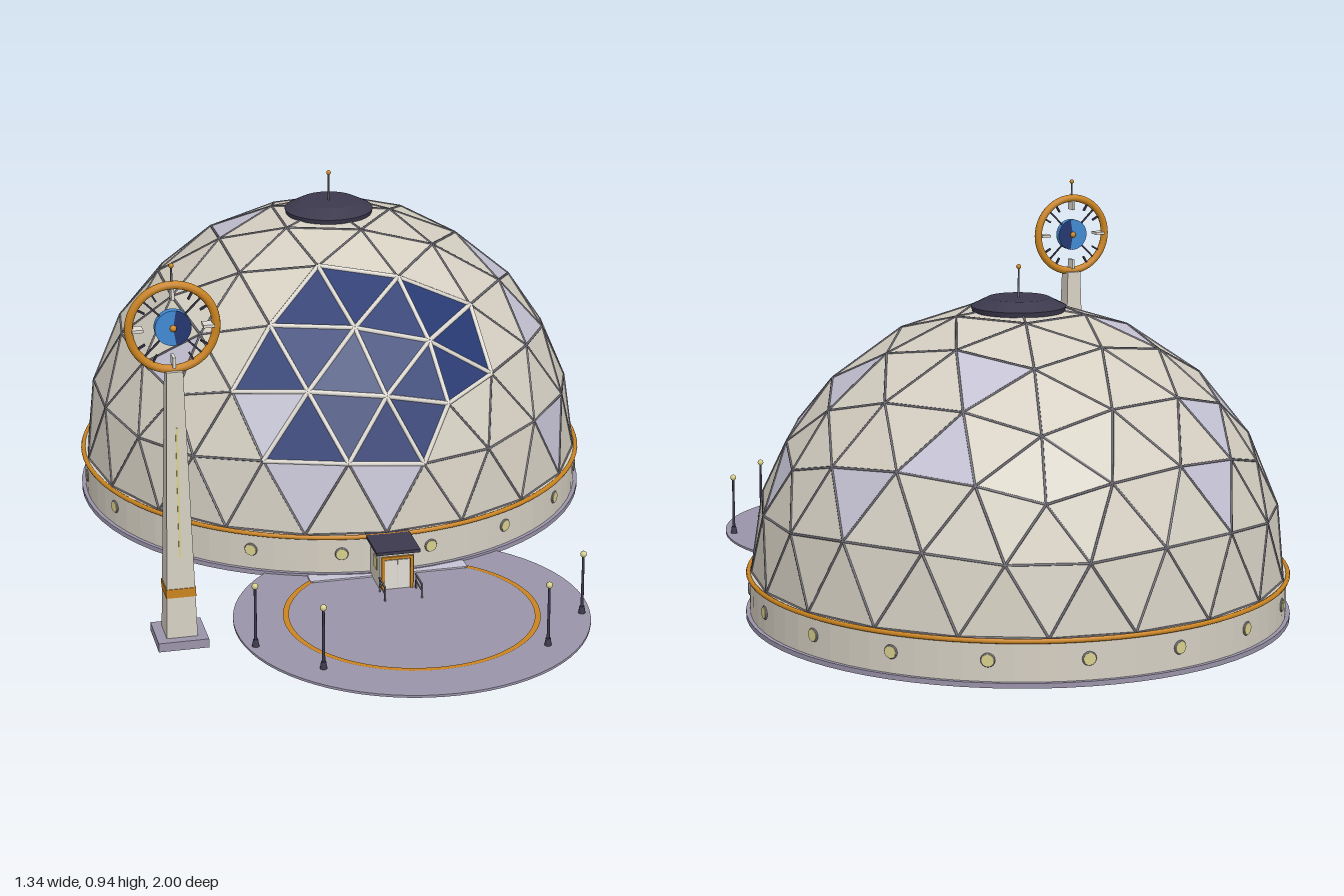
import * as THREE from 'three';
import { mergeGeometries } from 'three/addons/utils/BufferGeometryUtils.js';

const mat = (name, color, extra = {}) =>
  Object.assign(new THREE.MeshStandardMaterial({ color, ...extra }), { name });

export function createModel() {
  const M = {
    panel: mat('warm stone', 0xd5cfc2, { flatShading: true }),
    pale: mat('pale lilac panel', 0xc5c3d4, { flatShading: true }),
    navy: mat('navy glass', 0x223670, { flatShading: true }),
    frame: mat('pale frame', 0xe0dcd4),
    strut: mat('grey strut', 0x6d6b73),
    orange: mat('orange trim', 0xcb8420),
    paving: mat('lilac paving', 0x9a93a9),
    dark: mat('dark slate', 0x3c394d),
    glow: mat('lamp yellow', 0xd8d08c),
    blue: mat('sky blue', 0x4189d2),
  };
  const model = new THREE.Group();
  model.name = 'domeStation';
  const group = (name, x, y, z) => {
    const g = new THREE.Group();
    g.name = name;
    g.position.set(x, y, z);
    model.add(g);
    return g;
  };
  const add = (parent, name, geo, material, x = 0, y = 0, z = 0) => {
    const m = new THREE.Mesh(geo, material);
    m.name = name;
    m.position.set(x, y, z);
    parent.add(m);
    return m;
  };
  const box = (w, h, d) => new THREE.BoxGeometry(w, h, d);
  const cyl = (a, b, h, n = 48) => new THREE.CylinderGeometry(a, b, h, n);
  const ball = (r) => new THREE.SphereGeometry(r, 12, 8);

  // Base of the dome
  const dome = group('dome', 0, 0, -0.335);
  add(dome, 'foot', cyl(0.665, 0.665, 0.012, 72), M.paving, 0, 0.006, 0);
  add(dome, 'baseWall', cyl(0.655, 0.655, 0.1, 72), M.panel, 0, 0.06, 0);
  add(dome, 'trimRing', new THREE.TorusGeometry(0.658, 0.006, 8, 96).rotateX(Math.PI / 2), M.orange, 0, 0.107, 0);
  for (let i = 0; i < 18; i++) {
    const a = ((i * 20 + 10) * Math.PI) / 180;
    const p = new THREE.Group();
    p.name = 'porthole';
    p.rotation.y = a;
    p.position.set(0.655 * Math.sin(a), 0.062, 0.655 * Math.cos(a));
    dome.add(p);
    add(p, 'portholeRim', new THREE.TorusGeometry(0.014, 0.003, 6, 16), M.strut);
    add(p, 'portholeGlass', cyl(0.014, 0.014, 0.008, 16).rotateX(Math.PI / 2), M.glow);
  }

  // Geodesic shell: a four-fold divided icosahedron with a corner at the top
  const R = 0.65, Y0 = 0.11;
  const ico = new THREE.IcosahedronGeometry(R, 3);
  ico.rotateX(-Math.atan((1 + Math.sqrt(5)) / 2)).rotateY(Math.PI / 10);
  const pos = ico.attributes.position;
  const tris = [];
  for (let i = 0; i < pos.count; i += 3) {
    const v = [0, 1, 2].map((k) => new THREE.Vector3().fromBufferAttribute(pos, i + k));
    const c = v[0].clone().add(v[1]).add(v[2]).divideScalar(3);
    if (c.y > 0.01) tris.push({ v, c, kind: 'panel' });
  }
  // Outline of the large front window
  const outline = [[-0.33, 0.45], [-0.22, 0.59], [-0.11, 0.7], [0.16, 0.67], [0.3, 0.59],
    [0.33, 0.43], [0.18, 0.4], [0.1, 0.27], [-0.28, 0.29], [-0.17, 0.45]];
  const inside = (x, y) => {
    let hit = false;
    outline.forEach(([ax, ay], i) => {
      const [bx, by] = outline[(i + 1) % outline.length];
      if (ay > y !== by > y && x < ax + ((bx - ax) * (y - ay)) / (by - ay)) hit = !hit;
    });
    return hit;
  };
  // Directions of the scattered lilac panels
  const paleSpots = [[-0.25, 0.27, 0.53], [-0.19, 0.12, 0.6], [0, 0.11, 0.64], [0.45, 0.42, 0.2],
    [0.49, 0.12, 0.41], [-0.48, 0.32, 0.3], [0.6, 0.24, 0.09], [0.47, 0.38, 0.23], [0.45, 0.46, 0.07],
    [0.35, 0.39, -0.38], [0.55, 0.27, -0.21], [0.22, 0.55, -0.26], [-0.24, 0.6, -0.06],
    [-0.49, 0.38, -0.19], [-0.27, 0.27, -0.52], [-0.29, 0.43, -0.39]];
  for (const s of paleSpots) {
    const d = new THREE.Vector3(...s);
    tris.reduce((a, b) => (b.c.dot(d) > a.c.dot(d) ? b : a)).kind = 'pale';
  }
  for (const t of tris) if (t.c.z > 0 && inside(t.c.x, t.c.y + Y0)) t.kind = 'navy';

  const shell = group('shell', 0, Y0, -0.335);
  for (const kind of ['panel', 'pale', 'navy']) {
    const geo = new THREE.BufferGeometry().setFromPoints(tris.filter((t) => t.kind === kind).flatMap((t) => t.v));
    geo.computeVertexNormals();
    add(shell, kind + 'Panels', geo, M[kind]);
  }

  // Struts along every edge; pale wider bars around the window glass
  const edges = new Map();
  for (const t of tris) {
    for (let k = 0; k < 3; k++) {
      const a = t.v[k], b = t.v[(k + 1) % 3], m = a.clone().add(b).multiplyScalar(0.5);
      const key = m.toArray().map((n) => Math.round(n * 1000)).join();
      const e = edges.get(key) || { a, b, m, glass: false };
      e.glass = e.glass || t.kind === 'navy';
      edges.set(key, e);
    }
  }
  const bars = { strut: [], frame: [] };
  const up = new THREE.Vector3(0, 1, 0);
  for (const { a, b, m, glass } of edges.values()) {
    const r = glass ? 0.006 : 0.003;
    const g = cyl(r, r, a.distanceTo(b), 6);
    g.applyQuaternion(new THREE.Quaternion().setFromUnitVectors(up, b.clone().sub(a).normalize()));
    bars[glass ? 'frame' : 'strut'].push(g.translate(m.x, m.y, m.z));
  }
  add(shell, 'struts', mergeGeometries(bars.strut), M.strut);
  add(shell, 'windowBars', mergeGeometries(bars.frame), M.frame);

  // Cap and mast on top
  add(dome, 'capRim', cyl(0.115, 0.112, 0.012), M.dark, 0, 0.75, 0);
  add(dome, 'cap', cyl(0.075, 0.115, 0.02), M.dark, 0, 0.766, 0);
  add(dome, 'mast', cyl(0.002, 0.003, 0.08, 8), M.strut, 0, 0.81, 0);
  add(dome, 'mastTip', ball(0.006), M.orange, 0, 0.85, 0);

  // Round plaza with painted ring
  const plaza = group('plaza', 0, 0, 0.567);
  add(plaza, 'paving', cyl(0.43, 0.43, 0.006, 72), M.paving, 0, 0.003, 0);
  add(plaza, 'paintedRing', new THREE.RingGeometry(0.296, 0.31, 72).rotateX(-Math.PI / 2), M.orange, 0, 0.008, 0);
  add(plaza, 'threshold', box(0.4, 0.004, 0.04), M.pale, 0, 0.008, -0.245);

  // Lamp posts
  for (const [x, z] of [[0.4, 0.655], [0.27, 0.805]]) {
    for (const s of [-1, 1]) {
      const lamp = group('lampPost', s * x, 0, z);
      add(lamp, 'lampFoot', cyl(0.006, 0.009, 0.02, 10), M.dark, 0, 0.014, 0);
      add(lamp, 'lampPole', cyl(0.003, 0.004, 0.15, 8), M.dark, 0, 0.081, 0);
      add(lamp, 'lampGlobe', ball(0.008), M.glow, 0, 0.16, 0);
    }
  }

  // Entrance porch
  const porch = group('porch', 0, 0, 0.335);
  add(porch, 'porchWalls', box(0.086, 0.1, 0.12), M.panel, 0, 0.054, 0.025);
  add(porch, 'porchRoof', box(0.11, 0.008, 0.13), M.dark, 0, 0.108, 0.035);
  for (const s of [-1, 1]) {
    add(porch, 'doorJamb', box(0.007, 0.082, 0.008), M.orange, s * 0.036, 0.048, 0.087);
    add(porch, 'doorLeaf', box(0.03, 0.076, 0.004), M.frame, s * 0.0158, 0.046, 0.086);
    add(porch, 'porchWindow', box(0.004, 0.03, 0.035), M.glow, s * 0.043, 0.062, 0.04);
    add(porch, 'railTop', box(0.004, 0.004, 0.06), M.strut, s * 0.046, 0.042, 0.122);
    add(porch, 'railMiddle', box(0.003, 0.003, 0.06), M.strut, s * 0.046, 0.025, 0.122);
    for (const z of [0.095, 0.15]) add(porch, 'railPost', box(0.004, 0.038, 0.004), M.strut, s * 0.046, 0.024, z);
  }
  add(porch, 'doorLintel', box(0.079, 0.007, 0.008), M.orange, 0, 0.09, 0.087);

  // Tapered square tower
  const tower = group('tower', -0.565, 0, 0.565);
  const square = (a, b, h) => cyl(a * Math.SQRT2, b * Math.SQRT2, h, 4).rotateY(Math.PI / 4).toNonIndexed();
  add(tower, 'towerFoot', box(0.12, 0.022, 0.12), M.paving, 0, 0.011, 0);
  add(tower, 'towerShaft', square(0.019, 0.037, 0.66), M.panel, 0, 0.35, 0);
  add(tower, 'towerBand', box(0.071, 0.022, 0.071), M.orange, 0, 0.135, 0);
  for (const s of [-1, 1]) {
    const strip = add(tower, 'lightStrip', box(0.005, 0.32, 0.004), M.glow, 0, 0.385, s * 0.0275);
    strip.rotation.x = -s * 0.027;
  }

  // Ring emblem with disc, spokes and finial
  const wheel = group('wheel', -0.565, 0.783, 0.565);
  add(wheel, 'wheelRim', new THREE.TorusGeometry(0.101, 0.01, 10, 48), M.orange);
  add(wheel, 'disc', cyl(0.042, 0.042, 0.018, 32).rotateX(Math.PI / 2), M.blue);
  for (const s of [-1, 1]) {
    const half = new THREE.CircleGeometry(0.0422, 24, s > 0 ? -1.4 : Math.PI - 1.4, 2.8);
    const face = add(wheel, 'discShade', half, M.navy, 0, 0, s * 0.0098);
    if (s < 0) face.rotation.y = Math.PI;
    add(wheel, 'hub', ball(0.008), M.orange, 0, 0, s * 0.01);
  }
  for (let i = 0; i < 12; i++) {
    const main = i % 3 === 0;
    const arm = new THREE.Group();
    arm.name = 'spoke';
    arm.rotation.z = (i * Math.PI) / 6;
    wheel.add(arm);
    if (main) add(arm, 'marker', box(0.007, 0.026, 0.03), M.frame, 0, 0.082, 0);
    else add(arm, 'tick', box(0.004, 0.02, 0.008), M.dark, 0, 0.084, 0);
  }
  for (let i = 0; i < 4; i++) {
    const rod = add(wheel, 'rod', box(0.004, 0.19, 0.004), M.dark);
    rod.rotation.z = Math.PI / 4 * (i % 2 ? 1 : -1) + (i > 1 ? Math.PI : 0);
  }
  add(wheel, 'finialPole', cyl(0.002, 0.003, 0.04, 8), M.strut, 0, 0.128, 0);
  add(wheel, 'finialBall', ball(0.006), M.orange, 0, 0.147, 0);
  return model;
}
